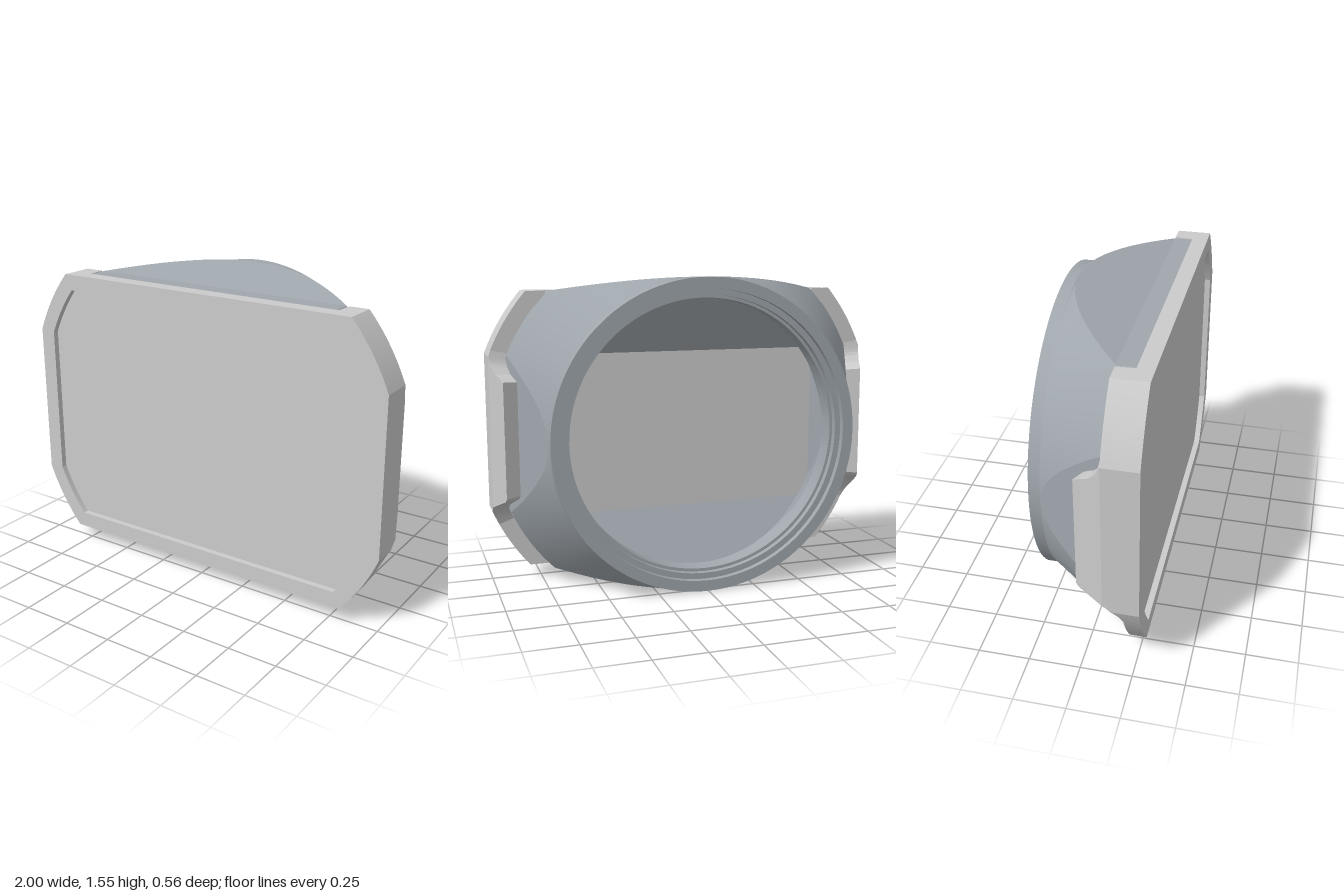
import * as THREE from 'three';
import { toCreasedNormals } from 'three/addons/utils/BufferGeometryUtils.js';

const CY = 0.776; // height of the optical axis
const N = 24;     // steps per flat and per arc

// Circle of radius r trimmed by flats at x = +-a and y = +-b, counter-clockwise from +x
function section(r, a, b, z) {
  const ya = Math.sqrt(Math.max(0, r * r - a * a));
  const xb = Math.sqrt(Math.max(0, r * r - b * b));
  const t0 = Math.atan2(ya, a), t1 = Math.atan2(b, xb);
  const q = [];
  for (let i = 0; i < N; i++) q.push([a, (ya * i) / N]);
  for (let i = 0; i < N; i++) {
    const t = t0 + ((t1 - t0) * i) / N;
    q.push([r * Math.cos(t), r * Math.sin(t)]);
  }
  for (let i = 0; i <= N; i++) q.push([xb * (1 - i / N), b]);
  const back = [...q].reverse();
  const turn = (pts, sx, sy) => pts.slice(0, -1).map(([x, y]) => [sx * x, sy * y, z]);
  return [...turn(q, 1, 1), ...turn(back, -1, 1), ...turn(q, -1, -1), ...turn(back, 1, -1)];
}

// Skin over successive sections; outward when the rows run from front to back
function loft(rows, name, color) {
  const pos = [], idx = [], n = rows[0].length;
  rows.forEach((row) => row.forEach(([x, y, z]) => pos.push(x, y + CY, z)));
  for (let i = 0; i < rows.length - 1; i++) {
    for (let j = 0; j < n; j++) {
      const k = (j + 1) % n;
      const a = i * n + j, b = i * n + k, c = a + n, d = b + n;
      idx.push(a, c, b, b, c, d);
    }
  }
  const g = new THREE.BufferGeometry();
  g.setAttribute('position', new THREE.Float32BufferAttribute(pos, 3));
  g.setIndex(idx);
  const mesh = new THREE.Mesh(toCreasedNormals(g, 0.18), new THREE.MeshStandardMaterial({ color }));
  mesh.name = name;
  return mesh;
}

const mix = (p, q, t) => p + (q - p) * t;

// Hood: cone trimmed by four sloping flats, with a funnel inside
function makeHood() {
  const rows = [section(0.993, 0.912, 0.7045, 0.2)];
  for (let i = 0; i <= 10; i++) {
    const t = (1 - i / 10) ** 1.5;
    rows.push(section(mix(0.775, 0.993, t), mix(0.775, 0.912, t), mix(0.775, 0.7045, t), mix(-0.225, 0.11, t)));
  }
  // stepped mounting ring
  const ring = [
    [0.775, -0.28], [0.72, -0.28], [0.72, -0.25], [0.69, -0.25],
    [0.69, -0.22], [0.675, -0.22], [0.675, -0.13],
  ];
  for (const [r, z] of ring) rows.push(section(r, r, r, z));
  // funnel narrowing to the rectangular window
  for (let i = 1; i <= 8; i++) {
    const t = (i / 8) ** 1.5;
    rows.push(section(mix(0.675, 0.73, t), mix(0.675, 0.67, t), mix(0.675, 0.4, t), mix(-0.13, 0.02, t)));
  }
  rows.push(rows[0]);
  return loft(rows, 'hood', 0xa0a7ad);
}

// Rear edge of the cap rim: [height from axis, z]
const EDGE = [
  [-0.475, 0.2], [-0.44, 0.19], [-0.41, 0.17], [-0.365, 0.12], [-0.305, -0.02],
  [0.28, -0.02], [0.31, 0.05], [0.35, 0.09], [0.38, 0.102], [0.42, 0.11],
];
function rearEdge([x, y]) {
  if (y > 0.69 && Math.abs(x) < 0.712) return 0.2;
  if (y <= EDGE[0][0]) return 0.2;
  for (let i = 1; i < EDGE.length; i++) {
    const [y0, z0] = EDGE[i - 1], [y1, z1] = EDGE[i];
    if (y < y1) return mix(z0, z1, (y - y0) / (y1 - y0));
  }
  return 0.11;
}

// Rim with side tabs that lean inward along the hood
function makeRim() {
  // points next to the top cut-out are moved onto its end, for a square step
  const outer = section(1.074, 1, 0.7045, 0.28).map(([x, y, z]) =>
    [Math.abs(x) > 0.712 && Math.abs(x) < 0.75 && y > 0.69 ? Math.sign(x) * 0.714 : x, y, z]);
  const inner = section(0.995, 0.918, 0.6245, 0.28);
  const edge = outer.map(rearEdge);
  const fold = (row) => row.map(([x, y], i) => [x, y, Math.max(edge[i], 0.11)]);
  const tip = (row, k) => row.map(([x, y], i) => {
    const drop = Math.max(0, 0.11 - edge[i]) * k;
    return [x - Math.sign(x) * drop * 0.4, y, Math.max(edge[i], 0.11) - drop];
  });
  return loft([outer, fold(outer), tip(outer, 1), tip(inner, 0.78), fold(inner), inner, outer], 'capRim', 0xcccccc);
}

// Recessed front panel, with a thicker middle reaching back to the window
function makePanel() {
  const full = [0.995, 0.918, 0.6245], core = [0.75, 0.69, 0.42];
  return loft([
    section(0, 0, 0, 0.25), section(...full, 0.25), section(...full, 0.2),
    section(...core, 0.2), section(...core, 0.023), section(0, 0, 0, 0.023),
  ], 'capPanel', 0xcccccc);
}

export function createModel() {
  const group = new THREE.Group();
  group.name = 'lensHoodWithCap';
  group.add(makeHood(), makeRim(), makePanel());
  return group;
}
